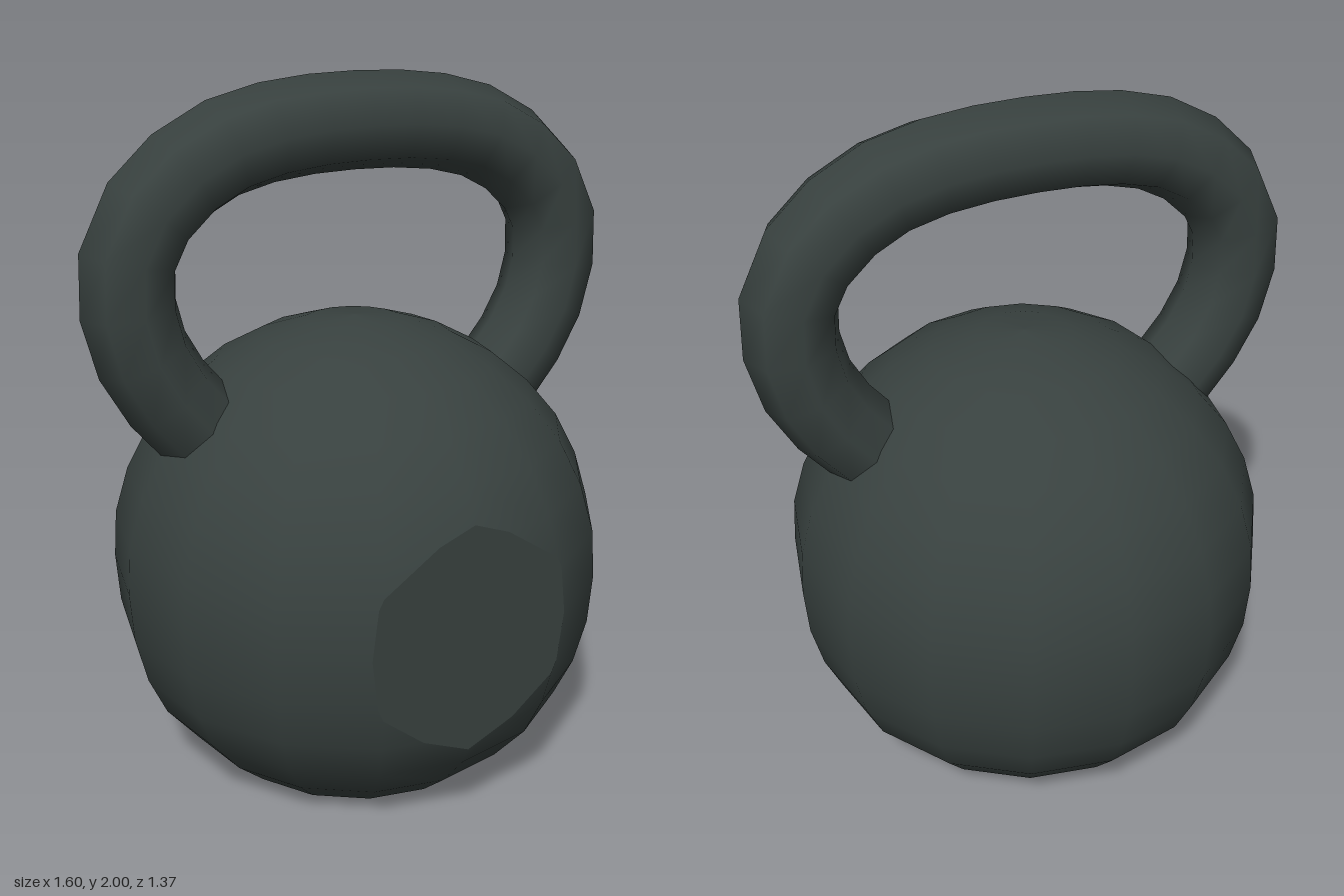
import * as THREE from 'three';

const CENTER_Z = 0.037;
const FACE_Z = 0.648; // flat front face, measured from the body axis

// Slice a geometry with the plane z = limit, keep what lies behind it and
// return the smooth remainder together with a flat cap for the opening.
function sliceFront(source, limit) {
  const geo = source.toNonIndexed();
  const pos = geo.attributes.position, nor = geo.attributes.normal;
  const positions = [], normals = [], rim = [];
  const corner = (i) => ({
    p: new THREE.Vector3().fromBufferAttribute(pos, i),
    n: new THREE.Vector3().fromBufferAttribute(nor, i),
  });
  for (let i = 0; i < pos.count; i += 3) {
    const tri = [corner(i), corner(i + 1), corner(i + 2)];
    const kept = [];
    tri.forEach((a, k) => {
      const b = tri[(k + 1) % 3];
      const inA = a.p.z <= limit, inB = b.p.z <= limit;
      if (inA) kept.push(a);
      if (inA !== inB) {
        const t = (limit - a.p.z) / (b.p.z - a.p.z);
        const cut = { p: a.p.clone().lerp(b.p, t), n: a.n.clone().lerp(b.n, t).normalize() };
        kept.push(cut);
        rim.push(cut.p);
      }
    });
    for (let k = 1; k < kept.length - 1; k++) {
      for (const v of [kept[0], kept[k], kept[k + 1]]) {
        positions.push(...v.p.toArray());
        normals.push(...v.n.toArray());
      }
    }
  }
  const shell = new THREE.BufferGeometry();
  shell.setAttribute('position', new THREE.Float32BufferAttribute(positions, 3));
  shell.setAttribute('normal', new THREE.Float32BufferAttribute(normals, 3));

  // Cap: order the rim points around their middle
  const mid = new THREE.Vector3();
  rim.forEach((p) => mid.addScaledVector(p, 1 / rim.length));
  const angle = (p) => Math.atan2(p.y - mid.y, p.x - mid.x);
  rim.sort((a, b) => angle(a) - angle(b));
  const cap = new THREE.ShapeGeometry(new THREE.Shape(rim.map((p) => new THREE.Vector2(p.x, p.y))));
  cap.translate(0, 0, limit);
  return { shell, cap };
}

export function createModel() {
  const model = new THREE.Group();
  model.name = 'kettlebell';
  const iron = new THREE.MeshStandardMaterial({ color: 0x38413f });
  iron.name = 'dark iron';
  const add = (name, geometry) => {
    const mesh = new THREE.Mesh(geometry, iron);
    mesh.name = name;
    mesh.position.z = CENTER_Z;
    model.add(mesh);
    return mesh;
  };

  // Round weight, slightly fuller towards the base
  const profile = [
    [0.40, 0], [0.42, 0.01], [0.52, 0.10], [0.615, 0.215], [0.667, 0.33],
    [0.70, 0.465], [0.71, 0.61], [0.70, 0.75], [0.66, 0.885], [0.595, 1.01],
    [0.505, 1.117], [0.398, 1.205], [0.273, 1.272], [0.139, 1.315], [0, 1.328],
  ].map(([r, y]) => new THREE.Vector2(r, y));
  const ball = new THREE.LatheGeometry(profile, 16);
  ball.scale(1, 1, 1.014);
  const { shell, cap } = sliceFront(ball, FACE_Z);
  add('body', shell);
  add('frontFace', cap);

  // Flat underside
  const base = new THREE.CircleGeometry(0.40, 16);
  base.rotateX(Math.PI / 2);
  base.scale(1, 1, 1.014);
  add('base', base);

  // Handle: mirrored centre line swept with an eight-sided section
  const half = [
    [0.15, 1.863], [0.325, 1.838], [0.455, 1.79], [0.57, 1.705], [0.645, 1.605],
    [0.67, 1.49], [0.65, 1.335], [0.585, 1.2], [0.51, 1.105], [0.40, 0.98],
  ];
  const path = [
    ...half.map(([x, y]) => [-x, y]).reverse(), [0, 1.868], ...half,
  ].map(([x, y]) => new THREE.Vector3(x, y, 0));
  const handle = new THREE.TubeGeometry(new THREE.CatmullRomCurve3(path), 22, 0.132, 8);
  handle.scale(1, 1, 1.035);
  add('handle', handle);

  return model;
}
